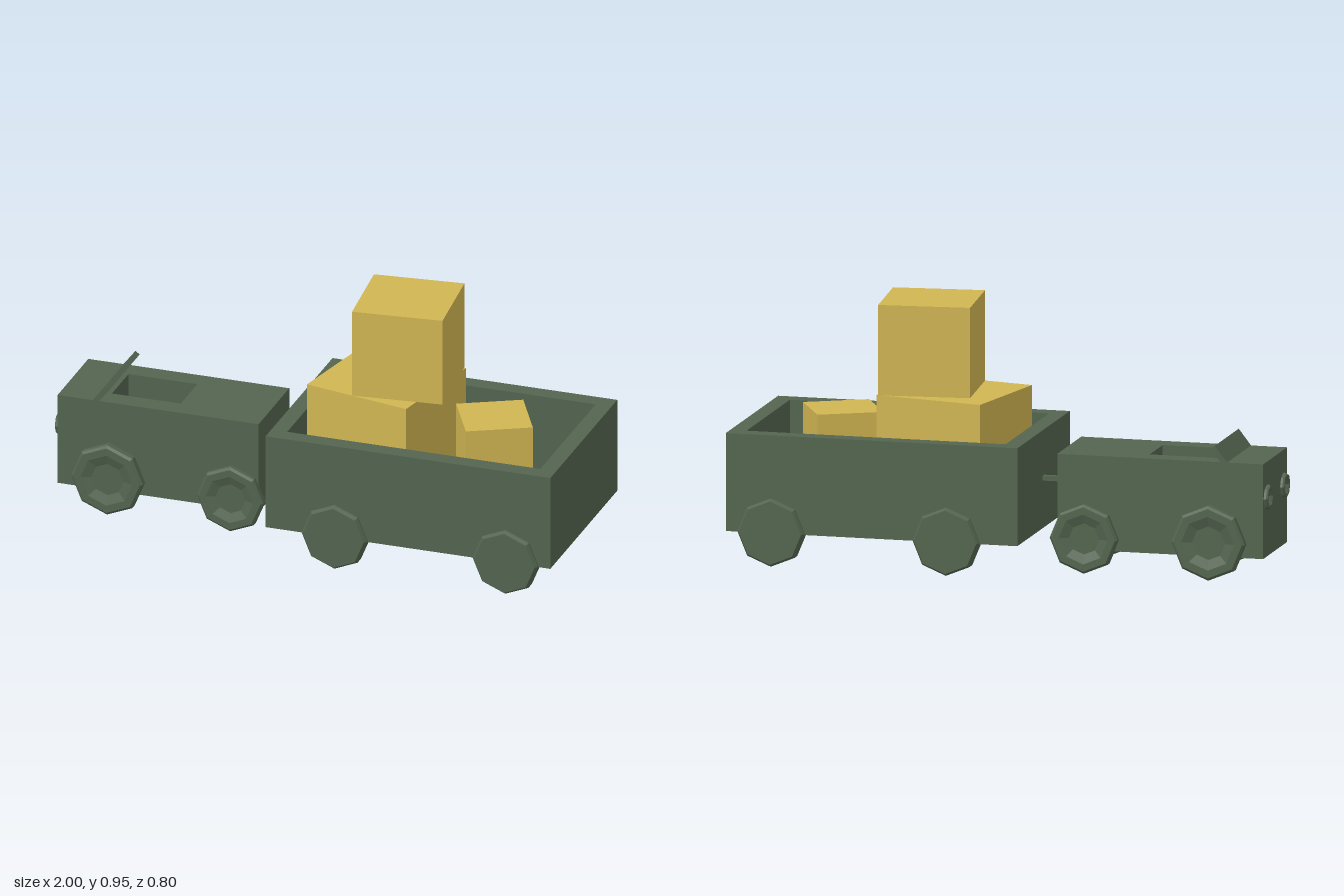
import * as THREE from 'three';

const green = new THREE.MeshStandardMaterial({ color: 0x53644f, flatShading: true });
const yellow = new THREE.MeshStandardMaterial({ color: 0xd0b552, flatShading: true });

function add(parent, name, geometry, material, x = 0, y = 0, z = 0) {
  const mesh = new THREE.Mesh(geometry, material);
  mesh.name = name;
  mesh.position.set(x, y, z);
  parent.add(mesh);
  return mesh;
}

const corners = (x0, x1, z0, z1) => [[x0, z0], [x1, z0], [x1, z1], [x0, z1]].map(p => new THREE.Vector2(...p));

// Box body with an open pit: solid base up to floorY, walls above it
function addTub(parent, name, length, width, y0, floorY, y1, pit) {
  add(parent, name + 'Base', new THREE.BoxGeometry(length, floorY - y0, width), green, 0, (y0 + floorY) / 2, 0);
  const shape = new THREE.Shape(corners(-length / 2, length / 2, -width / 2, width / 2));
  shape.holes.push(new THREE.Path(corners(...pit).reverse()));
  const walls = new THREE.ExtrudeGeometry(shape, { depth: y1 - floorY, bevelEnabled: false });
  walls.rotateX(-Math.PI / 2);
  add(parent, name + 'Walls', walls, green, 0, floorY, 0);
}

// Eight-sided disc along +y with chamfered rims and an optional dished face
function disc(r, thickness, dish = 0) {
  const h = thickness / 2;
  const c = thickness * 0.2;
  const profile = [[0, -h], [r * 0.93, -h], [r, -h + c], [r, h - c], [r * 0.93, h]];
  if (dish) profile.push([r * 0.72, h], [r * 0.45, h - dish]);
  profile.push([0, h - dish]);
  return new THREE.LatheGeometry(profile.map(p => new THREE.Vector2(...p)), 8);
}

// Mirrored pair of wheels, the dished face outward
function addWheels(parent, name, r, thickness, dish, x, y, outerZ) {
  for (const side of [1, -1]) {
    const wheel = add(parent, (side > 0 ? 'front' : 'back') + name, disc(r, thickness, dish), green,
      x, y, side * (outerZ - thickness / 2));
    wheel.rotation.x = side * Math.PI / 2;
  }
}

function addCrate(parent, name, size, y0, y1, x, z, turn) {
  const crate = add(parent, name, new THREE.BoxGeometry(size, y1 - y0, size), yellow, x, (y0 + y1) / 2, z);
  crate.rotation.y = turn;
}

export function createModel() {
  const model = new THREE.Group();
  model.name = 'tugWithTrailer';

  // Tug
  const tug = new THREE.Group();
  tug.name = 'tug';
  tug.position.set(-0.597, 0, -0.052);
  tug.rotation.y = -0.041;
  model.add(tug);
  addTub(tug, 'tugBody', 0.773, 0.335, 0.09, 0.29, 0.44, [-0.205, 0.06, -0.09, 0.09]);
  addWheels(tug, 'SteerWheel', 0.138, 0.04, 0.012, -0.187, 0.143, 0.202);
  addWheels(tug, 'DriveWheel', 0.128, 0.04, 0.012, 0.283, 0.133, 0.192);

  // Windshield board leaning back
  const shield = add(tug, 'windshield', new THREE.BoxGeometry(0.02, 0.085, 0.335), green, -0.223, 0.46, 0);
  shield.rotation.z = -0.66;

  // Headlamps
  for (const side of [1, -1]) {
    const lamp = add(tug, side > 0 ? 'frontHeadlamp' : 'backHeadlamp', disc(0.046, 0.03, 0.014), green,
      -0.386, 0.31, side * 0.115);
    lamp.rotation.z = Math.PI / 2;
  }

  // Hitch between tug and trailer
  add(model, 'hitch', new THREE.BoxGeometry(0.13, 0.018, 0.02), green, -0.16, 0.315, -0.033).rotation.y = -0.04;

  // Trailer
  const trailer = new THREE.Group();
  trailer.name = 'trailer';
  trailer.position.set(0.434, 0, -0.006);
  trailer.rotation.y = -0.043;
  model.add(trailer);
  addTub(trailer, 'trailerBed', 1.096, 0.727, 0.13, 0.2, 0.492, [-0.487, 0.487, -0.3, 0.3]);
  addWheels(trailer, 'LeadTrailerWheel', 0.126, 0.063, 0, -0.281, 0.134, 0.383);
  addWheels(trailer, 'RearTrailerWheel', 0.126, 0.063, 0, 0.377, 0.134, 0.383);

  // Stacked crates
  addCrate(model, 'largeCrate', 0.42, 0.2, 0.623, 0.22, -0.023, -0.245);
  addCrate(model, 'topCrate', 0.338, 0.623, 0.957, 0.309, -0.003, 0.06);
  addCrate(model, 'smallCrate', 0.246, 0.2, 0.536, 0.64, 0.009, 0.44);

  return model;
}
